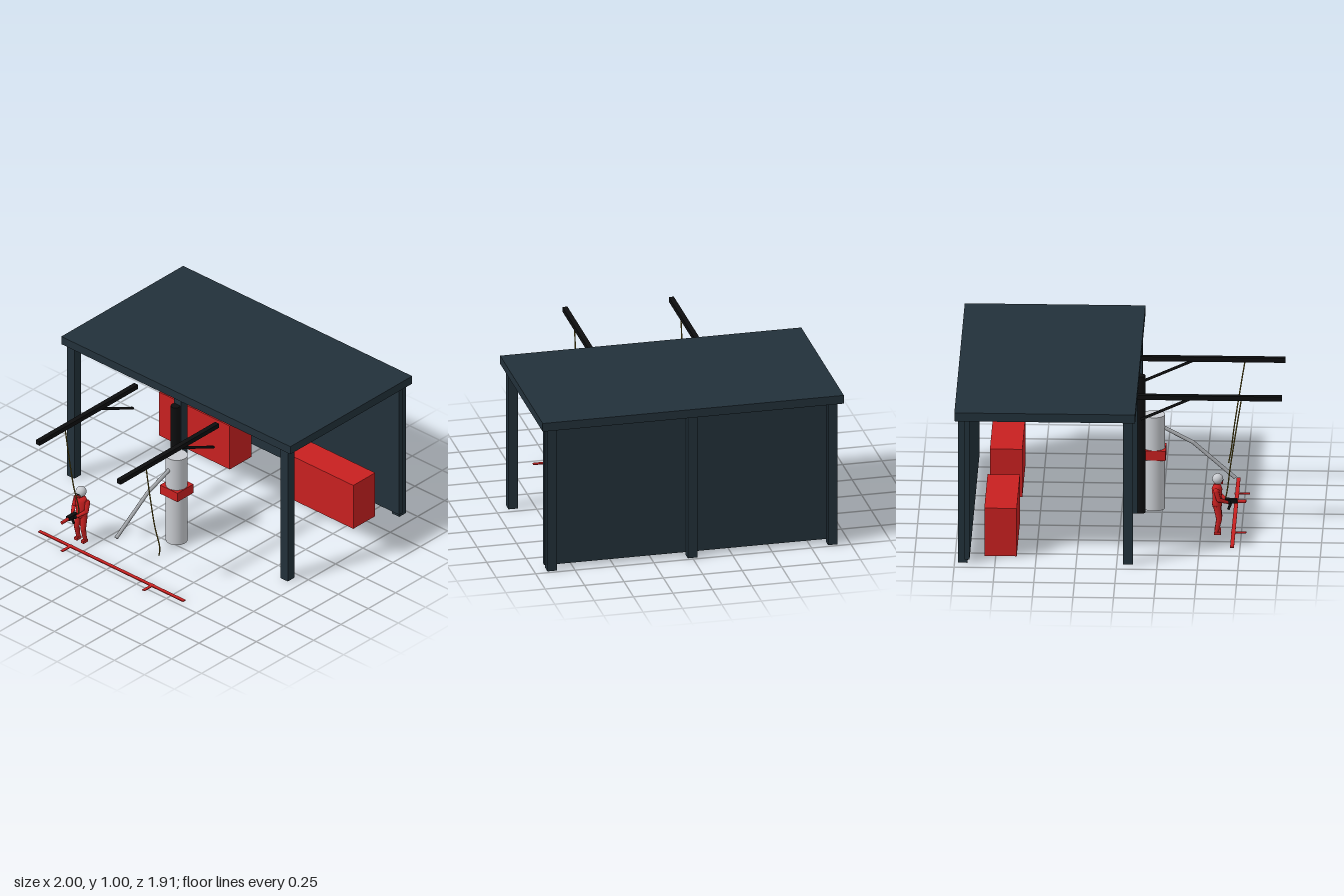
import * as THREE from 'three';

const mat = (name, color) => {
  const m = new THREE.MeshStandardMaterial({ color });
  m.name = name;
  return m;
};

export function createModel() {
  const navy = mat('navy steel', 0x22313a);
  const black = mat('black metal', 0x0d0e0f);
  const red = mat('signal red', 0xc82020);
  const white = mat('light grey', 0xc8cbd0);
  const grey = mat('hose grey', 0xa4a7ab);
  const panelWhite = mat('lamp white', 0xe8e8e8);
  const olive = mat('air line olive', 0x7d6b1e);

  const model = new THREE.Group();
  model.name = 'serviceBay';
  const V = (x, y, z) => new THREE.Vector3(x, y, z);

  const add = (name, geometry, material, x = 0, y = 0, z = 0, parent = model) => {
    const mesh = new THREE.Mesh(geometry, material);
    mesh.name = name;
    mesh.position.set(x, y, z);
    parent.add(mesh);
    return mesh;
  };
  // box given by its extents
  const box = (name, material, x0, x1, y0, y1, z0, z1, parent = model) =>
    add(name, new THREE.BoxGeometry(x1 - x0, y1 - y0, z1 - z0), material,
      (x0 + x1) / 2, (y0 + y1) / 2, (z0 + z1) / 2, parent);
  // tapered rod between two points
  const rod = (name, material, a, b, ra, rb = ra, sides = 10, parent = model) => {
    const mesh = add(name, new THREE.CylinderGeometry(rb, ra, a.distanceTo(b), sides), material, 0, 0, 0, parent);
    mesh.position.copy(a).lerp(b, 0.5);
    mesh.quaternion.setFromUnitVectors(V(0, 1, 0), b.clone().sub(a).normalize());
    return mesh;
  };
  const tube = (name, material, points, r, parent = model) =>
    add(name, new THREE.TubeGeometry(new THREE.CatmullRomCurve3(points), 20, r, 8), material, 0, 0, 0, parent);

  // Shelter: roof, posts, back wall
  box('roof', navy, -0.115, 1, 0.945, 1, -0.955, 0.955);
  for (const z of [-0.89, 0, 0.89]) {
    box('pitSidePost', navy, -0.1, -0.04, 0, 0.95, z - 0.03, z + 0.03);
    box('wallPost', navy, 0.92, 0.98, 0, 0.95, z - 0.03, z + 0.03);
  }
  box('wall', navy, 0.907, 0.937, 0.025, 0.95, -0.93, 0.93);

  // Ceiling lamps
  for (const z of [-0.555, 0, 0.555])
    box('ceilingLamp', panelWhite, 0.07, 0.72, 0.936, 0.9455, z - 0.105, z + 0.105);

  // Tool cabinets along the wall
  for (const s of [-1, 1]) {
    const z = s * 0.515;
    box('cabinet', red, 0.62, 0.82, 0.005, 0.32, z - 0.295, z + 0.295);
  }

  // Overhead booms with braces and hanging air lines
  add('boomPole', new THREE.CylinderGeometry(0.03, 0.03, 0.9, 16), black, -0.118, 0.45, 0);
  for (const z of [-0.345, 0.33]) {
    box('boom', black, -1, -0.1, 0.875, 0.905, z - 0.016, z + 0.016);
    rod('boomBrace', black, V(-0.13, 0.742, z), V(-0.44, 0.882, z), 0.009, 0.009, 6);
    tube('airLine', olive, [V(-0.75, 0.88, z), V(-0.715, 0.66, z), V(-0.68, 0.42, z + 0.01),
      V(-0.662, 0.27, z + 0.035), V(-0.648, 0.2, z + 0.015)], 0.004);
  }

  // Fuel tank with collar and hose
  const tank = new THREE.Group();
  tank.name = 'fuelTank';
  tank.position.set(-0.198, 0, 0.083);
  model.add(tank);
  add('tankBody', new THREE.CylinderGeometry(0.068, 0.068, 0.615, 32), white, 0, 0.3075, 0, tank);
  box('tankCollar', red, -0.073, 0.073, 0.335, 0.398, -0.073, 0.073, tank);
  const bend = V(-0.44, 0.44, 0.06);
  rod('hoseUpper', grey, V(-0.24, 0.54, 0.078), bend, 0.012);
  rod('hoseLower', grey, bend, V(-0.7, 0.22, 0.035), 0.012);
  add('hoseElbow', new THREE.SphereGeometry(0.012, 10, 8), grey, bend.x, bend.y, bend.z);

  // Painted stop line with cross ticks
  box('stopLine', red, -0.713, -0.689, 0, 0.006, -0.605, 0.605);
  for (const z of [-0.345, 0.335])
    box('stopTick', red, -0.78, -0.685, 0, 0.005, z - 0.01, z + 0.01);

  // Crew member, facing -x
  const crew = new THREE.Group();
  crew.name = 'crewMember';
  crew.position.set(-0.6, 0, -0.345);
  model.add(crew);
  const limb = (name, points, radii) => points.slice(1).forEach((p, i) => {
    rod(name, red, points[i], p, radii[i], radii[i + 1], 10, crew);
    add(name + 'Joint', new THREE.SphereGeometry(radii[i + 1], 10, 8), red, p.x, p.y, p.z, crew);
  });

  const torso = add('torso', new THREE.LatheGeometry([[0, 0.17], [0.029, 0.175], [0.031, 0.2], [0.027, 0.23],
    [0.033, 0.29], [0.024, 0.315], [0, 0.33]].map(([r, y]) => new THREE.Vector2(r, y)), 16), red, 0, 0, 0, crew);
  torso.scale.z = 1.35;
  rod('neck', red, V(0, 0.31, 0), V(-0.003, 0.345, 0), 0.016, 0.016, 10, crew);
  add('helmet', new THREE.SphereGeometry(0.034, 18, 14), white, -0.004, 0.356, 0, crew);
  const visor = add('visor', new THREE.SphereGeometry(0.023, 12, 10), black, -0.021, 0.35, 0, crew);
  visor.scale.set(0.8, 0.6, 1);
  box('helmetStripe', red, -0.037, -0.024, 0.327, 0.338, -0.016, 0.016, crew);

  for (const s of [-1, 1]) {
    limb('leg', [V(0, 0.185, s * 0.02), V(-0.014, 0.1, s * 0.027), V(0.002, 0.02, s * 0.028)], [0.024, 0.018, 0.013]);
    box('boot', red, -0.024, 0.016, 0, 0.018, s * 0.028 - 0.012, s * 0.028 + 0.012, crew);
    limb('arm', [V(0, 0.3, s * 0.038), V(0.004, 0.29, s * 0.046), V(-0.012, 0.235, s * 0.052),
      V(-0.065, 0.208, s * 0.018)], [0.016, 0.017, 0.014, 0.01]);
    add('glove', new THREE.SphereGeometry(0.013, 10, 8), black, -0.072, 0.207, s * 0.013, crew);
  }

  // Wheel gun held at the waist
  box('gunBody', black, -0.125, -0.05, 0.2, 0.226, -0.014, 0.014, crew);
  rod('gunGrip', black, V(-0.088, 0.205, 0), V(-0.07, 0.155, 0), 0.009, 0.008, 8, crew);
  rod('gunSocket', red, V(-0.12, 0.21, 0), V(-0.18, 0.208, 0), 0.011, 0.011, 12, crew);

  return model;
}
